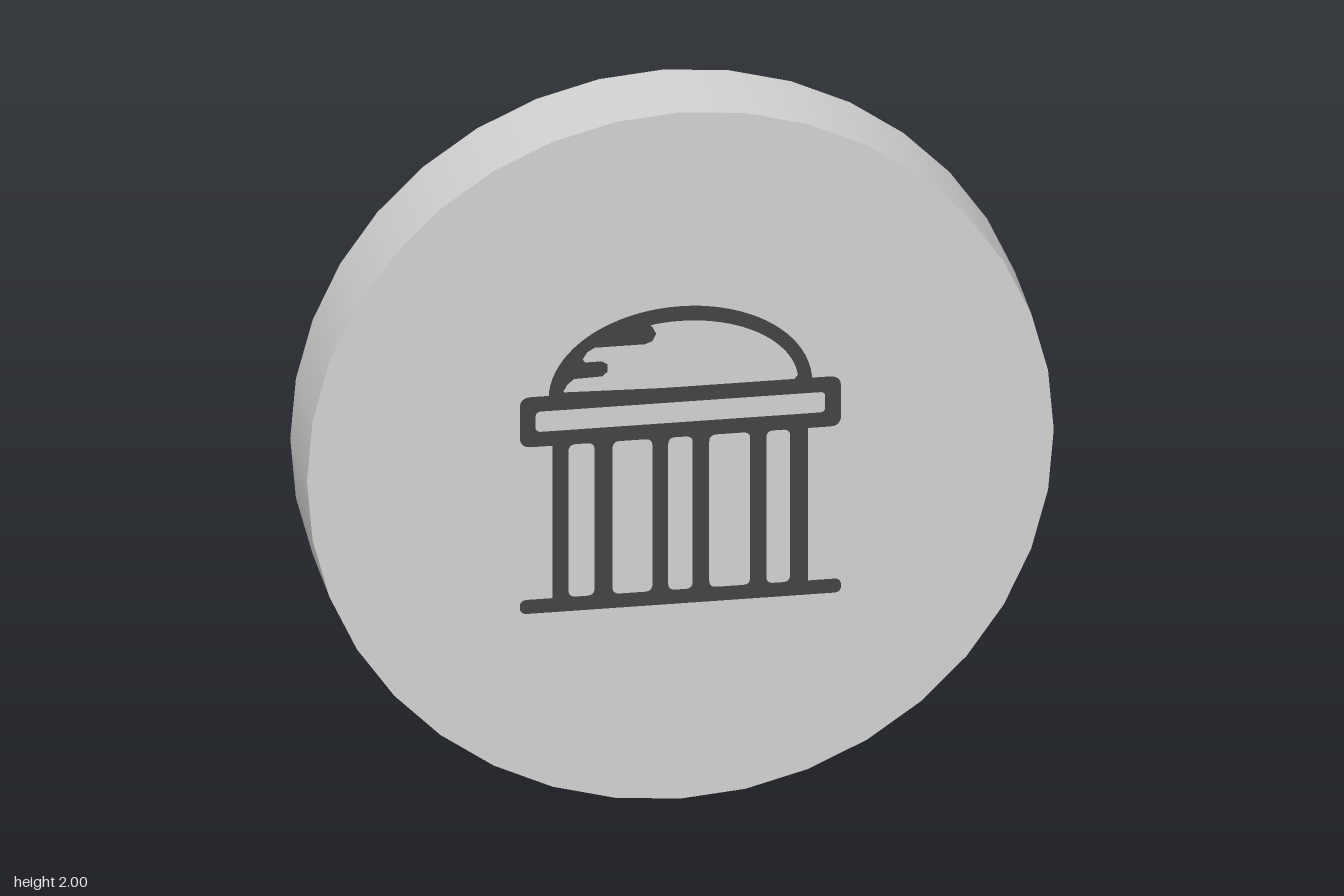
import * as THREE from 'three';

const discGrey = new THREE.MeshStandardMaterial({ color: 0xd2d2d2 });
discGrey.name = 'light grey';
const emblemGrey = new THREE.MeshStandardMaterial({ color: 0x434343 });
emblemGrey.name = 'dark grey';

const HALF_DEPTH = 0.136;

// Rounded rectangle outline, usable as a shape or as a hole
function roundedRect(x0, y0, x1, y1, r) {
  const s = new THREE.Shape();
  s.moveTo(x0 + r, y0);
  s.lineTo(x1 - r, y0).quadraticCurveTo(x1, y0, x1, y0 + r);
  s.lineTo(x1, y1 - r).quadraticCurveTo(x1, y1, x1 - r, y1);
  s.lineTo(x0 + r, y1).quadraticCurveTo(x0, y1, x0, y1 - r);
  s.lineTo(x0, y0 + r).quadraticCurveTo(x0, y0, x0 + r, y0);
  return s;
}

// Thin painted plate just above the disc face
function plate(name, shape) {
  const geo = new THREE.ExtrudeGeometry(shape, { depth: 0.004, bevelEnabled: false, curveSegments: 8 });
  const mesh = new THREE.Mesh(geo, emblemGrey);
  mesh.name = name;
  mesh.position.z = HALF_DEPTH - 0.002;
  return mesh;
}

// Points along the upper arc of an ellipse
function arc(rx, ry, cy, a0, a1, n) {
  return Array.from({ length: n + 1 }, (_, i) => {
    const a = a0 + (a1 - a0) * i / n;
    return new THREE.Vector2(rx * Math.cos(a), cy + ry * Math.sin(a));
  });
}

function domeShape() {
  const outer = arc(0.353, 0.245, 1.19, 0, Math.PI, 40);
  const shape = new THREE.Shape(outer);
  // Opening, with two rounded highlight strokes cut into its left side
  const strokes = [
    [-0.075, 1.38], [-0.065, 1.36], [-0.075, 1.34], [-0.095, 1.332], [-0.23, 1.332],
    [-0.25, 1.32], [-0.262, 1.3], [-0.255, 1.29], [-0.21, 1.29], [-0.195, 1.28],
    [-0.195, 1.26], [-0.21, 1.247], [-0.285, 1.245], [-0.303, 1.23], [-0.314, 1.21], [-0.305, 1.2],
  ].map(([x, y]) => new THREE.Vector2(x, y));
  const inner = arc(0.316, 0.2, 1.193, 0.09, 1.83, 28);
  shape.holes.push(new THREE.Path([new THREE.Vector2(0.305, 1.2), ...inner, ...strokes]));
  return shape;
}

function createEmblem() {
  const g = new THREE.Group();
  g.name = 'emblem';
  g.add(plate('dome', domeShape()));

  // Entablature frame
  const beam = roundedRect(-0.43, 1.055, 0.43, 1.2, 0.03);
  beam.holes.push(roundedRect(-0.388, 1.097, 0.388, 1.157, 0.015));
  g.add(plate('entablature', beam));

  // Six columns, left standing between five rounded gaps
  const columns = roundedRect(-0.342, 0.6, 0.342, 1.06, 0.001);
  const gaps = [[-0.3, -0.23], [-0.182, -0.075], [-0.033, 0.033], [0.077, 0.187], [0.23, 0.294]];
  for (const [a, b] of gaps) columns.holes.push(roundedRect(a, 0.61, b, 1.055, 0.02));
  g.add(plate('columns', columns));

  g.add(plate('baseStep', roundedRect(-0.43, 0.57, 0.43, 0.61, 0.019)));
  return g;
}

export function createModel() {
  const model = new THREE.Group();
  model.name = 'medallion';

  const discGeo = new THREE.CylinderGeometry(1, 1, HALF_DEPTH * 2, 36);
  discGeo.rotateX(Math.PI / 2);
  const disc = new THREE.Mesh(discGeo, discGrey);
  disc.name = 'disc';
  disc.position.y = 1;
  model.add(disc);

  // Same emblem on both faces
  const front = createEmblem();
  front.name = 'frontEmblem';
  const back = createEmblem();
  back.name = 'backEmblem';
  back.rotation.y = Math.PI;
  model.add(front, back);
  return model;
}
